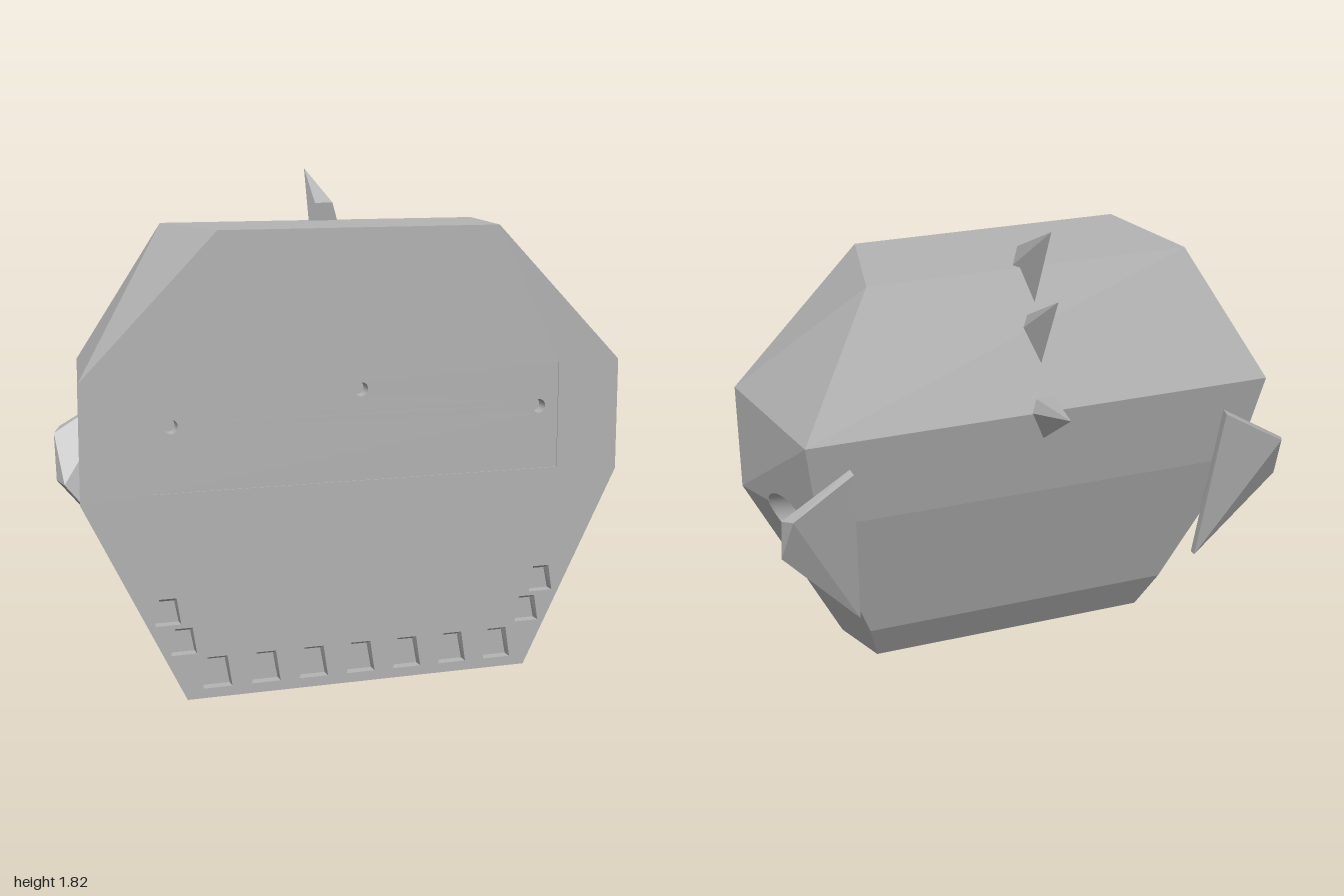
import * as THREE from 'three';
import { mergeGeometries } from 'three/addons/utils/BufferGeometryUtils.js';
import { ConvexGeometry } from 'three/addons/geometries/ConvexGeometry.js';

const FRONT = 0.43;
const V2 = (p) => new THREE.Vector2(p[0], p[1]);

// Flat polygons (convex, counter-clockwise from outside) as one faceted geometry
function facets(polys) {
  const pos = [];
  for (const p of polys)
    for (let i = 1; i < p.length - 1; i++) pos.push(...p[0], ...p[i], ...p[i + 1]);
  const g = new THREE.BufferGeometry();
  g.setAttribute('position', new THREE.Float32BufferAttribute(pos, 3));
  g.computeVertexNormals();
  return g;
}

// Copy reflected in x, with its corner order put right
function mirrored(geo) {
  const g = geo.index ? geo.toNonIndexed() : geo.clone();
  g.scale(-1, 1, 1);
  const idx = [];
  for (let i = 0; i < g.attributes.position.count; i += 3) idx.push(i, i + 2, i + 1);
  g.setIndex(idx);
  return g;
}

// Sunken pocket: walls from a front outline to a back outline, plus a floor
function pocket(front, back, z0, z1) {
  const a = front.map((p) => [...p, z0]), b = back.map((p) => [...p, z1]);
  const polys = a.map((p, i) => {
    const j = (i + 1) % a.length;
    return [p, a[j], b[j], b[i]];
  });
  return facets([...polys, b]);
}

const circle = (x, y, r, n = 24) =>
  Array.from({ length: n }, (_, i) => [x + r * Math.cos((i * 2 * Math.PI) / n), y + r * Math.sin((i * 2 * Math.PI) / n)]);

function flatShape(outline, holes, z) {
  const s = new THREE.Shape(outline.map(V2));
  holes.forEach((h) => s.holes.push(new THREE.Path(h.map(V2))));
  return new THREE.ShapeGeometry(s).translate(0, 0, z);
}

// Width of the lower side at a given height and depth
const sideX = (y, z) =>
  Math.min(0.64 + 0.5 * y + 0.348 * (z - FRONT), 1 + 0.2275 * (y - 0.72) + 0.323 * (z - FRONT));

// Side face with a round notch, drawn in (-z, y) and pushed out to the side
function sidePatch(points) {
  const g = new THREE.ShapeGeometry(new THREE.Shape(points.map(V2)));
  const p = g.attributes.position;
  for (let i = 0; i < p.count; i++) {
    const z = -p.getX(i), y = p.getY(i);
    p.setXYZ(i, sideX(y, z), y, z);
  }
  g.computeVertexNormals();
  return g;
}

export function createModel() {
  const model = new THREE.Group();
  model.name = 'spikedHead';
  const grey = new THREE.MeshStandardMaterial({ color: 0xb4b4b4, side: THREE.DoubleSide });
  grey.name = 'plain grey';
  const add = (name, geo) => {
    const m = new THREE.Mesh(geo, grey);
    m.name = name;
    model.add(m);
  };
  const addPair = (name, geo) => {
    add(name + 'Left', geo);
    add(name + 'Right', mirrored(geo));
  };

  // Shell: bottom, back and top, as bands running over the half-width profile
  const ring = [[0.64, 0, FRONT], [0.56, 0, 0.2], [0.612, 0.18, 0.09], [0.837, 0.77, -0.11],
    [0.89, 1.13, -0.2], [0.605, 1.63, -0.04], [0.515, 1.63, FRONT]];
  const flip = ([x, y, z]) => [-x, y, z];
  add('shell', facets(ring.slice(1).map((q, i) => [ring[i], flip(ring[i]), flip(q), q])));

  // Upper side facets
  const [, , , , cheek, crown, brow] = ring;
  const low = [1, 0.72, FRONT], high = [1, 1.13, FRONT];
  addPair('upperSide', facets([[low, cheek, high], [high, cheek, crown], [high, crown, brow]]));

  // Lower sides, with the round socket opening cut across the fold
  const cz = 0.11, cy = 0.655, R = 0.155, aR = 0.7455, aL = 2.581;
  const arc = (a, b, n) => Array.from({ length: n + 1 }, (_, i) => {
    const t = a + ((b - a) * i) / n;
    return [-cz + R * Math.cos(t), cy + R * Math.sin(t)];
  });
  addPair('side', mergeGeometries([
    sidePatch([[-FRONT, 0], [-0.2, 0], [-0.09, 0.18], [0.11, 0.77], ...arc(aR, aL - 2 * Math.PI, 36), [-FRONT, 0.72]]),
    sidePatch([[-FRONT, 0.72], ...arc(aL, aR, 16), [0.11, 0.77], [0.2, 1.13]]),
  ]));

  // Socket wall and bowl
  const r = 0.136, floor = 0.76;
  const wall = new THREE.LatheGeometry([V2([R, 1]), V2([r, floor])], 48).rotateZ(-Math.PI / 2).translate(0, cy, cz);
  const wp = wall.attributes.position;
  for (let i = 0; i < wp.count; i++)
    if (wp.getX(i) > 0.9) wp.setX(i, sideX(wp.getY(i), wp.getZ(i)));
  addPair('socketWall', wall);
  const bowl = Array.from({ length: 11 }, (_, i) => {
    const t = (i / 10) * Math.PI / 2;
    return V2([r * Math.cos(t), floor - 0.125 * Math.sin(t)]);
  });
  addPair('socketBowl', new THREE.LatheGeometry(bowl, 48).rotateZ(-Math.PI / 2).translate(0, cy, cz));

  // Tooth-shaped pockets: [x, bottom, height, half width at bottom, half width at top]
  const teeth = [-3, -2, -1, 0, 1, 2, 3].map((i) => [i * 0.177, 0.035, 0.112, 0.053, 0.036]);
  for (const s of [-1, 1]) teeth.push([s * 0.65, 0.165, 0.095, 0.046, 0.031], [s * 0.705, 0.275, 0.095, 0.046, 0.031]);
  const toothOutline = ([x, y, h, b, t], drop = 0) =>
    [[x - b, y], [x + b, y], [x + t, y + h - drop], [x - t, y + h - drop]];
  teeth.forEach((t) => add('toothPocket', pocket(toothOutline(t), toothOutline(t, 0.018), FRONT, FRONT - 0.04)));

  // Front face with a shallow panel and three round holes
  const panel = [[-0.76, 0.74], [0.76, 0.74], [0.76, 1.13], [-0.76, 1.13]];
  const panelZ = FRONT - 0.004;
  const outline = [[-0.64, 0], [0.64, 0], [1, 0.72], [1, 1.13], [0.515, 1.63], [-0.515, 1.63], [-1, 1.13], [-1, 0.72]];
  add('frontFace', flatShape(outline, [panel, ...teeth.map((t) => toothOutline(t))], FRONT));
  const holes = [[-0.685, 0.97], [0, 1.065], [0.685, 0.97]].map(([x, y]) => circle(x, y, 0.025));
  add('frontPanel', flatShape(panel, holes, panelZ));
  add('panelRim', facets(panel.map((p, i) => {
    const q = panel[(i + 1) % 4];
    return [[...p, FRONT], [...q, FRONT], [...q, panelZ], [...p, panelZ]];
  })));
  holes.forEach((h) => add('roundHole', pocket(h, h, panelZ, panelZ - 0.05)));

  // Cheek fins
  const hull = (pts) => new ConvexGeometry(pts.map((p) => new THREE.Vector3(...p)));
  addPair('cheekFin', hull([
    [0.725, 1.01, -0.212], [0.955, 0.875, -0.235], [0.985, 0.69, -0.14], [0.69, 0.345, -0.07],
    [0.73, 1.015, -0.175], [0.985, 0.86, -0.18], [0.965, 0.68, -0.09], [0.69, 0.345, -0.04],
  ]));

  // Crest spikes: [y, z] of the top edge, widest point, lower point and tip
  const spikes = [
    [[1.695, 0.005], [1.63, -0.005], [1.5, -0.075], [1.815, -0.235]],
    [[1.465, -0.085], [1.42, -0.095], [1.28, -0.135], [1.585, -0.305]],
    [[1.18, -0.18], [1.13, -0.19], [1.01, -0.165], [1.19, -0.43]],
  ];
  for (const [top, mid, bottom, tip] of spikes)
    add('crestSpike', hull([[-0.034, ...top], [0.034, ...top], [-0.055, ...mid], [0.055, ...mid], [0, ...bottom], [0, ...tip]]));

  return model;
}
